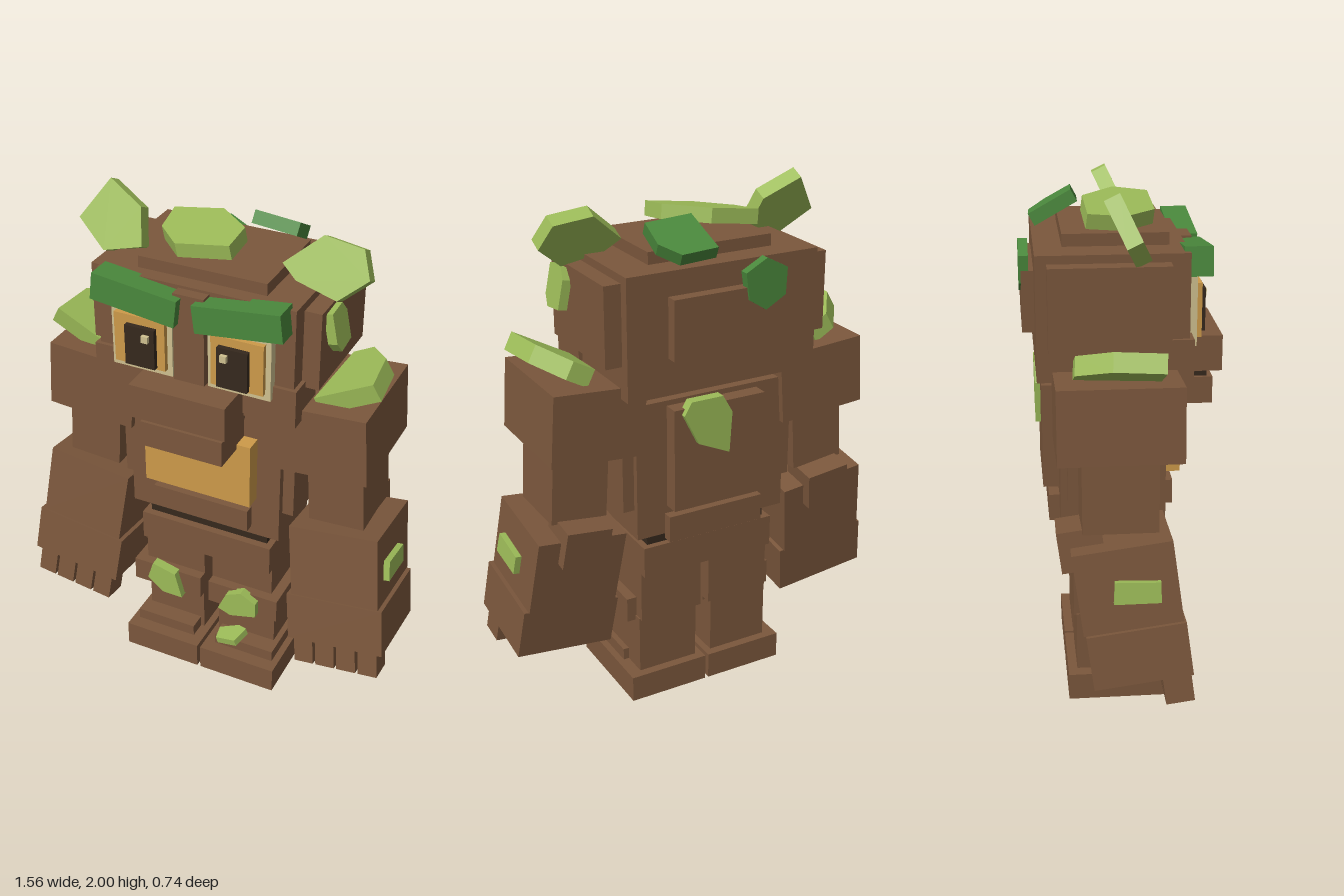
import * as THREE from 'three';

const mat = (name, color) => Object.assign(new THREE.MeshStandardMaterial({ color }), { name });

export function createModel() {
  const root = new THREE.Group();
  root.name = 'woodGolem';
  const wood = mat('wood brown', 0x7b573c);
  const dark = mat('dark bark', 0x35281d);
  const amber = mat('amber', 0xcd9a49);
  const cream = mat('cream', 0xcfc08f);
  const moss = mat('light moss', 0x9cbb58);
  const fern = mat('dark moss', 0x4a883c);

  // box given by its min and max along each axis
  const box = (name, m, x0, x1, y0, y1, z0, z1, parent = root) => {
    const mesh = new THREE.Mesh(new THREE.BoxGeometry(x1 - x0, y1 - y0, z1 - z0), m);
    mesh.position.set((x0 + x1) / 2, (y0 + y1) / 2, (z0 + z1) / 2);
    mesh.name = name;
    parent.add(mesh);
    return mesh;
  };
  // same box on both sides of x = 0
  const pair = (name, m, x0, x1, ...yz) => [
    box(name + 'Left', m, x0, x1, ...yz), box(name + 'Right', m, -x1, -x0, ...yz)];

  // faceted leaf: outline around its centre, facing front, up, back or a side
  const facing = {
    front: g => g, up: g => g.rotateX(-Math.PI / 2), back: g => g.rotateY(Math.PI),
    left: g => g.rotateY(Math.PI / 2), right: g => g.rotateY(-Math.PI / 2),
  };
  const leaf = (name, m, dir, thick, pts, pos, rot = [0, 0, 0], parent = root) => {
    const shape = new THREE.Shape(pts.map(p => new THREE.Vector2(...p)));
    const geo = new THREE.ExtrudeGeometry(shape, { depth: thick, bevelEnabled: false });
    geo.translate(0, 0, -thick / 2);
    const mesh = new THREE.Mesh(facing[dir](geo), m);
    mesh.position.set(...pos);
    mesh.rotation.set(...rot);
    mesh.name = name;
    parent.add(mesh);
    return mesh;
  };

  // legs
  pair('foot', wood, 0.007, 0.335, 0, 0.107, -0.22, 0.22);
  pair('footStep', wood, 0.05, 0.308, 0.107, 0.155, -0.085, 0.165);
  pair('shin', wood, 0.035, 0.285, 0.107, 0.345, -0.185, 0.095);
  pair('knee', wood, 0.018, 0.32, 0.325, 0.425, -0.15, 0.16);
  pair('thigh', wood, 0.018, 0.28, 0.34, 0.56, -0.195, 0.12);

  // hips and torso
  box('pelvis', wood, -0.28, 0.28, 0.55, 0.675, -0.225, 0.15);
  box('belt', dark, -0.255, 0.255, 0.675, 0.73, -0.2, 0.12);
  box('torso', wood, -0.315, 0.315, 0.73, 1.27, -0.24, 0.15);
  box('ribs', wood, -0.36, 0.36, 0.845, 1.23, -0.215, 0.12);
  box('collar', wood, -0.285, 0.285, 1.2, 1.34, -0.2, 0.13);
  box('chestPanel', amber, -0.22, 0.22, 0.905, 1.175, 0.15, 0.215);
  box('bellyPlate', wood, -0.2, 0.2, 0.765, 0.86, 0.15, 0.19);
  box('backPlate', wood, -0.19, 0.19, 0.845, 1.25, -0.3, -0.24);
  box('lowerBackPlate', wood, -0.2, 0.2, 0.71, 0.815, -0.28, -0.24);

  // head
  box('head', wood, -0.385, 0.385, 1.325, 1.78, -0.32, 0.22);
  pair('cheek', wood, 0.2, 0.4, 1.325, 1.475, 0.05, 0.235);
  pair('sidePlate', wood, 0.385, 0.45, 1.45, 1.75, -0.28, 0.15);
  box('crownPlate', wood, -0.25, 0.25, 1.78, 1.825, -0.22, 0.16);
  box('headBackPlate', wood, -0.225, 0.225, 1.465, 1.69, -0.365, -0.32);
  box('noseBridge', wood, -0.06, 0.06, 1.4, 1.77, 0.2, 0.265);
  box('muzzle', wood, -0.19, 0.19, 1.29, 1.425, 0.2, 0.37);
  box('mouth', dark, -0.15, 0.15, 1.255, 1.29, 0.1, 0.32);
  box('jaw', wood, -0.165, 0.165, 1.155, 1.258, 0.1, 0.34);

  // eyes
  pair('eyeFrame', cream, 0.07, 0.312, 1.425, 1.677, 0.2, 0.255);
  pair('iris', amber, 0.09, 0.292, 1.452, 1.65, 0.24, 0.275);
  pair('pupil', dark, 0.122, 0.24, 1.46, 1.618, 0.27, 0.295);
  pair('eyeGlint', cream, 0.14, 0.166, 1.57, 1.596, 0.29, 0.31);
  pair('brow', fern, 0.033, 0.367, 1.673, 1.778, 0.2, 0.3)
    .forEach((b, i) => { b.rotation.z = i ? -0.12 : 0.12; });

  // arms
  const forearmPatch = [[-0.085, -0.035], [0.08, -0.045], [0.085, 0.03], [-0.075, 0.045]];
  for (const s of [1, -1]) {
    const arm = new THREE.Group();
    arm.name = s > 0 ? 'leftArm' : 'rightArm';
    root.add(arm);
    const shoulder = box('shoulder', wood, 0.29, 0.65, 1.1, 1.37, -0.265, 0.175, arm);
    shoulder.position.x *= s;
    shoulder.rotation.z = 0.07 * s;
    const upper = box('upperArm', wood, 0.405, 0.625, 0.84, 1.12, -0.18, 0.09, arm);
    upper.position.x *= s;
    upper.rotation.z = 0.06 * s;

    const lower = new THREE.Group();
    lower.name = 'lowerArm';
    lower.position.set(0.545 * s, 0.655, -0.025);
    lower.rotation.set(-0.13, 0, 0.12 * s);
    arm.add(lower);
    box('forearm', wood, -0.178, 0.178, -0.15, 0.15, -0.178, 0.178, lower);
    box('elbow', wood, -0.09, 0.09, 0.06, 0.21, -0.22, -0.06, lower);
    box('hand', wood, -0.195, 0.195, -0.35, -0.15, -0.17, 0.185, lower);
    for (let i = 0; i < 4; i++) {
      const x = (i - 1.5) * 0.089;
      box('finger', wood, x - 0.039, x + 0.039, -0.457, -0.345, 0.075, 0.178, lower);
    }
    leaf('forearmMoss', moss, s > 0 ? 'left' : 'right', 0.03, forearmPatch,
      [0.187 * s, -0.01, 0.03], [0.06, 0, 0], lower);

    // shoulder leaf, raised on its outer side
    leaf('shoulderLeaf', moss, 'up', 0.07,
      [[-0.13, -0.15], [0.12, -0.15], [0.1, 0.03], [0.0, 0.15], [-0.09, 0.15]]
        .map(([x, y]) => [x * s, y]), [0.545 * s, 1.425, -0.045], [0.08, 0, 0.5 * s]);
  }

  // leaves on the head
  leaf('earLeafRight', moss, 'front', 0.06,
    [[-0.13, -0.02], [-0.03, 0.14], [0.11, 0.06], [0.14, -0.08], [-0.01, -0.12]],
    [-0.43, 1.865, 0], [-0.45, 0, 0]);
  leaf('earLeafLeft', moss, 'front', 0.06,
    [[-0.16, -0.02], [-0.03, 0.1], [0.12, 0.08], [0.16, -0.02], [0.06, -0.11], [-0.1, -0.07]],
    [0.41, 1.855, 0], [-0.45, 0, 0]);
  leaf('crownLeaf', moss, 'up', 0.055,
    [[-0.17, 0.13], [0.03, 0.14], [0.17, 0.02], [0.17, -0.11], [-0.04, -0.12], [-0.15, -0.01]],
    [-0.08, 1.875, 0], [0.12, 0, 0.14]);
  leaf('crownBackLeaf', fern, 'up', 0.05,
    [[-0.1, 0.09], [0.04, 0.09], [0.1, 0.02], [0.1, -0.09], [-0.08, -0.09]],
    [0.13, 1.855, -0.235], [-0.5, 0, -0.08]);
  leaf('headSideLeaf', moss, 'left', 0.035,
    [[-0.06, 0.075], [0.03, 0.08], [0.06, 0.04], [0.06, -0.07], [-0.03, -0.08], [-0.06, -0.04]],
    [0.47, 1.66, 0.05], [0, 0, 0.2]);
  leaf('headBackLeaf', fern, 'back', 0.035,
    [[-0.085, 0.05], [0.0, 0.095], [0.085, 0.05], [0.08, -0.05], [0, -0.095], [-0.07, -0.05]],
    [-0.14, 1.695, -0.355]);

  // leaves on the body and legs
  leaf('backLeaf', moss, 'back', 0.04,
    [[-0.1, 0.06], [-0.07, 0.11], [0.06, 0.11], [0.1, 0.04], [0.09, -0.12], [-0.04, -0.06]],
    [0.06, 1.17, -0.3]);
  leaf('kneeMossRight', moss, 'front', 0.04,
    [[-0.08, -0.015], [-0.055, 0.065], [0.045, 0.04], [0.075, -0.07], [-0.01, -0.07]],
    [-0.165, 0.39, 0.17]);
  leaf('kneeMossLeft', moss, 'front', 0.04,
    [[-0.085, -0.05], [-0.05, 0.03], [0.015, 0.06], [0.08, 0.025], [0.08, -0.04], [-0.03, -0.07]],
    [0.16, 0.38, 0.17]);
  leaf('footMoss', moss, 'up', 0.03,
    [[-0.06, 0.02], [0.02, 0.045], [0.06, 0.03], [0.04, -0.045], [-0.05, -0.04]],
    [0.115, 0.16, 0.145], [0.12, 0, 0.25]);
  leaf('shinLeaf', fern, 'right', 0.035,
    [[-0.06, 0.05], [0.04, 0.06], [0.06, -0.03], [0, -0.065], [-0.05, -0.045]],
    [-0.308, 0.215, -0.04], [0, 0, 0.12]);
  return root;
}
